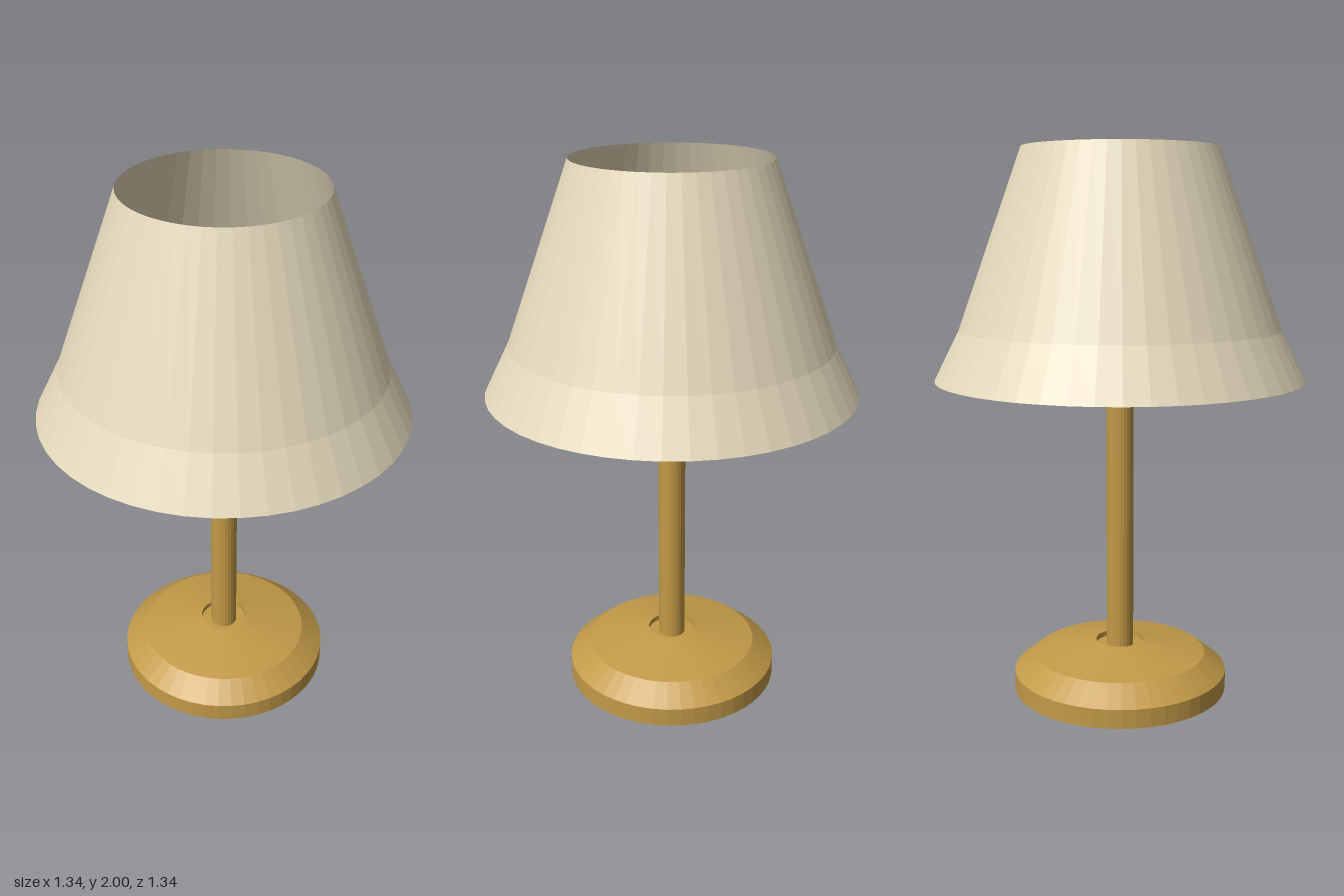
import * as THREE from 'three';

// Faceted solid of revolution from [radius, height] pairs, listed bottom to top
function turned(name, profile, segments, color, side = THREE.FrontSide) {
  const points = profile.map(([r, y]) => new THREE.Vector2(r, y));
  const material = new THREE.MeshStandardMaterial({ color, flatShading: true, side });
  const mesh = new THREE.Mesh(new THREE.LatheGeometry(points, segments), material);
  mesh.name = name;
  return mesh;
}

export function createModel() {
  const group = new THREE.Group();
  group.name = 'tableLamp';
  const brass = 0xc29a48;

  // Weighted foot with a shallow recess around the pole
  group.add(turned('base', [
    [0, 0], [0.4, 0], [0.4, 0.07], [0.32, 0.135], [0.09, 0.18], [0.09, 0.16], [0, 0.16],
  ], 48, brass));

  // Upright pole
  group.add(turned('pole', [[0.05, 0.15], [0.05, 1.42], [0, 1.42]], 24, brass));

  // Socket flaring out into the bulb
  group.add(turned('bulb', [
    [0, 1.4], [0.05, 1.4], [0.115, 1.445], [0.135, 1.55], [0.09, 1.66], [0, 1.7],
  ], 24, 0xcccccc));

  // Thin open shade with a flared hem
  group.add(turned('shade', [
    [0.67, 1.18], [0.58, 1.36], [0.35, 2],
  ], 48, 0xe6dabd, THREE.DoubleSide));

  return group;
}
